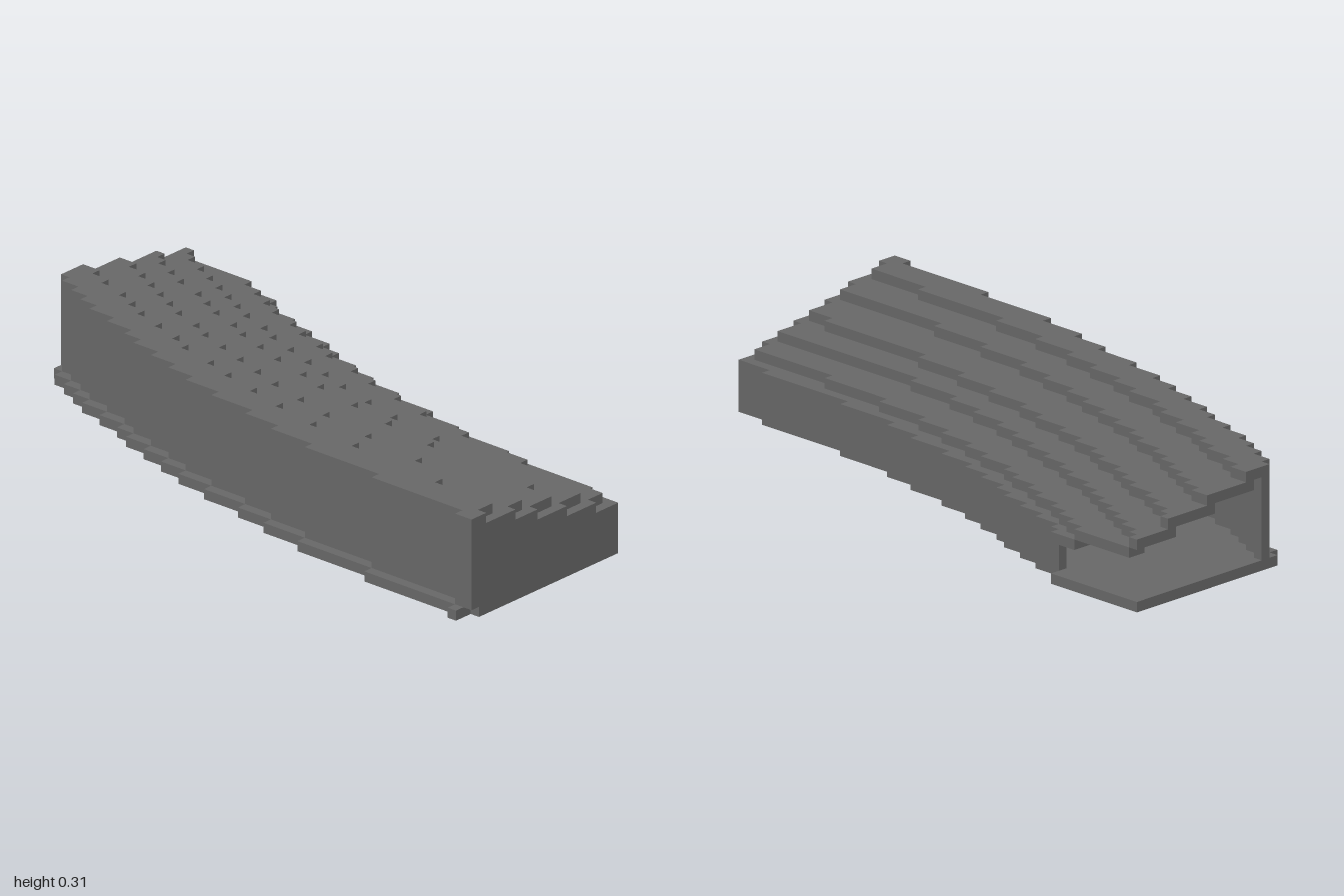
import * as THREE from 'three';
import { mergeGeometries } from 'three/addons/utils/BufferGeometryUtils.js';

const V = 1 / 32; // one block
const LAST = 63; // index of the end column
const centre = (i) => -1 + (i + 0.5) * V;

// x positions where the front and back edges step by one block
const FRONT_STEPS = [0.594, 0.3125, 0.156, 0.031, -0.125, -0.25, -0.344, -0.4375,
  -0.531, -0.594, -0.6875, -0.781, -0.844, -0.906, -0.969];
const BACK_STEPS = [0.875, 0.531, 0.3125, 0.1875, 0.031, -0.094, -0.1875, -0.281,
  -0.344, -0.4375, -0.531, -0.625, -0.656];

const stepped = (z, steps, x) => z - V * steps.filter((s) => x < s).length;
const backEdge = (i) => stepped(-0.125, BACK_STEPS, centre(i));
const floorFront = (i) => {
  if (i === LAST) return 0.46875;
  if (i === LAST - 1) return 0.53125;
  return stepped(0.5, FRONT_STEPS, centre(i));
};
const wallFront = (i) => (i === LAST ? 0.5 : floorFront(i) - V);

// Curved roof terrace edges: start z, arc radius, rounding offset, z on the end wall
const TERRACES = [
  [-0.09375, 3.85, 0.016, -0.03125],
  [0, 3.85, 0.046, 0.09375],
  [0.125, 4.17, 0.002, 0.21875],
  [0.25, 4.03, 0.024, 0.3125],
  [0.375, 4.4, 0.0075, 0.4375],
];
function terraceEdge(k, i) {
  if (k < 0) return backEdge(i);
  if (k >= TERRACES.length) return wallFront(i);
  const [z, r, offset, endZ] = TERRACES[k];
  if (i === LAST) return endZ;
  const dx = 1 - centre(i);
  const drop = r - Math.sqrt(r * r - dx * dx);
  return Math.max(backEdge(i), z - V * Math.max(0, Math.ceil((drop - offset) / V)));
}

// Slab with stepped edges; neighbouring columns of equal extent become one box
function slab(name, material, y0, y1, zBack, zFront, from = 0, to = LAST) {
  const boxes = [];
  for (let i = from; i <= to;) {
    const a = zBack(i);
    const b = zFront(i);
    let j = i + 1;
    while (j <= to && zBack(j) === a && zFront(j) === b) j++;
    if (b - a > 0.001) {
      const box = new THREE.BoxGeometry((j - i) * V, y1 - y0, b - a);
      box.translate(-1 + (i + j) * V / 2, (y0 + y1) / 2, (a + b) / 2);
      boxes.push(box);
    }
    i = j;
  }
  const mesh = new THREE.Mesh(mergeGeometries(boxes), material);
  mesh.name = name;
  return mesh;
}

export function createModel() {
  const group = new THREE.Group();
  group.name = 'curvedTerracedHall';
  const stone = new THREE.MeshStandardMaterial({ color: 0x696969 });
  stone.name = 'dark grey stone';

  group.add(slab('floor', stone, 0, V, backEdge, floorFront));
  group.add(slab('frontWall', stone, V, 9 * V, (i) => wallFront(i) - V, wallFront));

  // Back wall stops short of the open corner
  const firstBack = Math.round((1 - 0.656) / V);
  group.add(slab('backWall', stone, V, 4 * V, backEdge, (i) => backEdge(i) + V, firstBack));

  // Roof terraces climb one block at a time towards the front
  for (let k = 0; k <= TERRACES.length; k++) {
    const y = (4 + k) * V;
    group.add(slab('roofTerrace' + (k + 1), stone, y, y + V,
      (i) => terraceEdge(k - 1, i),
      (i) => {
        const edge = terraceEdge(k, i);
        // tuck one block under the next terrace
        return edge > backEdge(i) ? Math.min(edge + V, wallFront(i)) : edge;
      }));
    // Matching piece of the closed end wall
    group.add(slab('endWall' + (k + 1), stone, V, y,
      (i) => terraceEdge(k - 1, i), (i) => terraceEdge(k, i), LAST, LAST));
  }
  return group;
}
